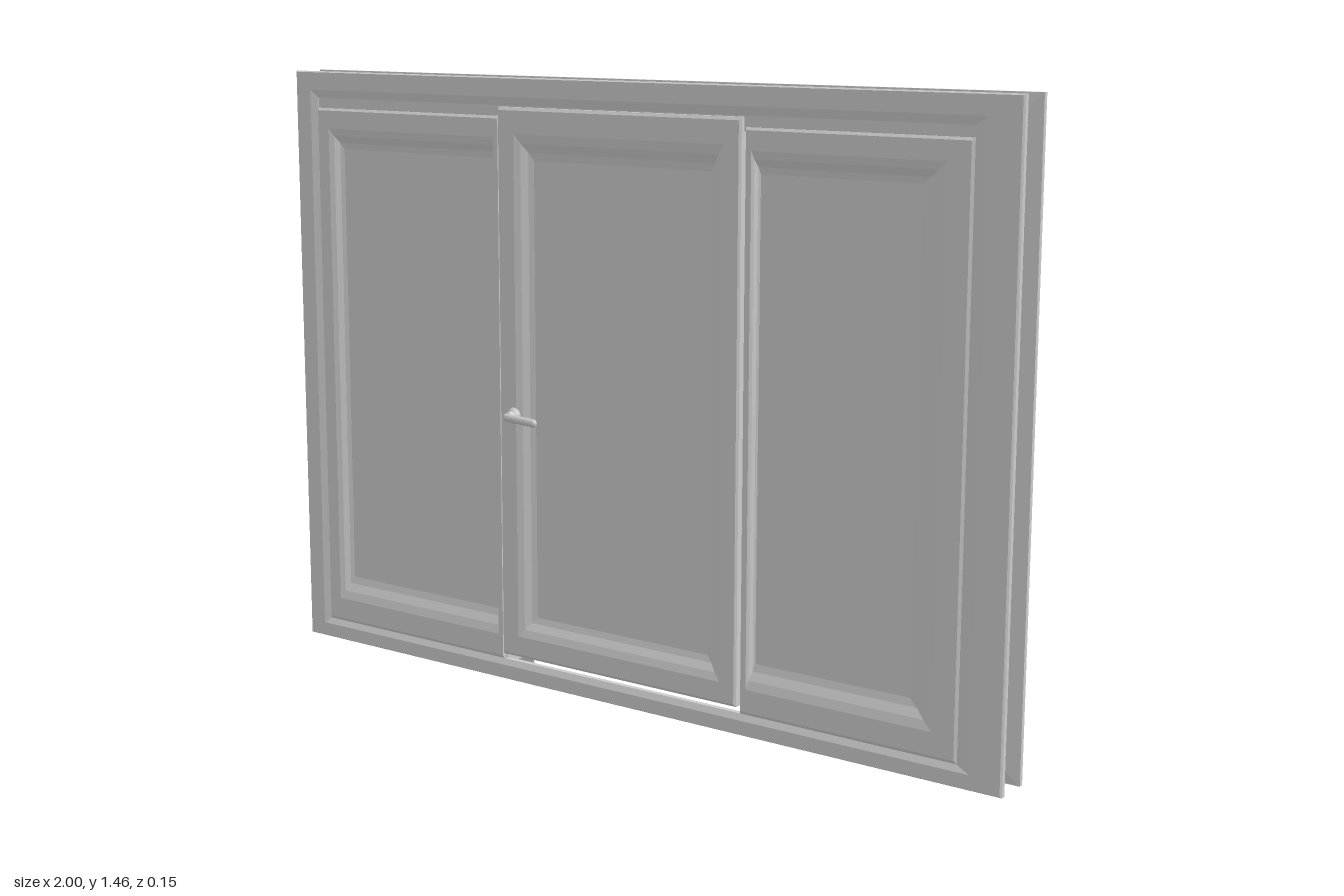
import * as THREE from 'three';

const material = new THREE.MeshStandardMaterial({ color: 0xcccccc, side: THREE.DoubleSide });

function add(parent, geometry, name, x = 0, y = 0, z = 0) {
  const mesh = new THREE.Mesh(geometry, material);
  mesh.name = name;
  mesh.position.set(x, y, z);
  parent.add(mesh);
  return mesh;
}

// Box given by its limits
function block(parent, name, [x0, x1], [y0, y1], [z0, z1]) {
  add(parent, new THREE.BoxGeometry(x1 - x0, y1 - y0, z1 - z0), name,
    (x0 + x1) / 2, (y0 + y1) / 2, (z0 + z1) / 2);
}

// Rectangle as a closed path, first corner repeated
const rect = (x0, x1, y0, y1) => [[x0, y0], [x1, y0], [x1, y1], [x0, y1], [x0, y0]];

// Path lying between two matching paths, at depth z
const between = (outer, inner, t, z) => outer.map(([x, y], i) =>
  [x + (inner[i][0] - x) * t, y + (inner[i][1] - y) * t, z]);

// Faceted surface through successive paths, with optional end panes
function loft(parent, name, paths, capped) {
  const points = [];
  const quad = (a, b, c, d) => points.push(...a, ...b, ...c, ...a, ...c, ...d);
  for (let k = 0; k < paths.length - 1; k++) {
    for (let i = 0; i < paths[k].length - 1; i++) {
      quad(paths[k][i], paths[k][i + 1], paths[k + 1][i + 1], paths[k + 1][i]);
    }
  }
  if (capped) {
    const [a, b, c, d] = paths[0];
    quad(d, c, b, a);
    quad(...paths[paths.length - 1].slice(0, 4));
  }
  const geometry = new THREE.BufferGeometry();
  geometry.setAttribute('position', new THREE.Float32BufferAttribute(points, 3));
  geometry.computeVertexNormals();
  add(parent, geometry, name);
}

// Sash with soft bevels around a recessed pane on both faces; limits are [x0, x1, y0, y1]
function sash(parent, name, limits, backPane, frontPane, zBack, zFront) {
  const outer = rect(...limits), back = rect(...backPane), front = rect(...frontPane);
  const bevel = [[1, 0.015], [0.85, 0.012], [0.68, 0.004], [0.5, 0], [0.06, 0], [0, 0.004]];
  loft(parent, name, [
    ...bevel.map(([t, d]) => between(outer, back, t, zBack + d)),
    ...[...bevel].reverse().map(([t, d]) => between(outer, front, t, zFront - d)),
  ], true);
}

// Lever handle: rosette, neck and grip standing off by reach; side is +1 front, -1 back
function handle(parent, name, x, y, z, side, reach) {
  const group = new THREE.Group();
  group.name = name;
  group.position.set(x, y, z);
  const rosette = add(group, new THREE.CylinderGeometry(0.014, 0.02, 0.008, 20), 'rosette', 0, 0, side * 0.004);
  rosette.rotation.x = side * Math.PI / 2;
  const neck = add(group, new THREE.CylinderGeometry(0.011, 0.014, reach, 16), 'neck', 0, 0, side * reach / 2);
  neck.rotation.x = side * Math.PI / 2;
  const grip = add(group, new THREE.CapsuleGeometry(0.01, 0.08, 6, 14), 'grip', 0.037, -0.003, side * reach);
  grip.rotation.z = -Math.PI / 2 - 0.06;
  grip.scale.set(1, 1, 0.7);
  parent.add(group);
}

export function createModel() {
  const model = new THREE.Group();
  model.name = 'threePartWindow';

  // Front flange, dipping slightly towards its opening
  const frontOuter = rect(-1, 1, 0, 1.46), frontInner = rect(-0.93, 0.89, 0.05, 1.395);
  const frontProfile = [[0, 0.022], [0, 0.033], [0.04, 0.036], [0.7, 0.036], [1, 0.03], [1, 0.02], [0, 0.022]];
  loft(model, 'frontFlange', frontProfile.map(([t, z]) => between(frontOuter, frontInner, t, z)));

  // Back flange, sloping inwards and open below the middle door
  const backOuter = [[-0.33, 0], [-1, 0], [-1, 1.46], [1, 1.46], [1, 0], [0.34, 0]];
  const backInner = [[-0.33, 0.085], [-0.89, 0.085], [-0.89, 1.365], [0.89, 1.365], [0.89, 0.085], [0.34, 0.085]];
  const backProfile = [[0, -0.05], [0, -0.061], [0.03, -0.064], [0.4, -0.063], [0.65, -0.057],
    [1, -0.049], [1, -0.042], [0, -0.05]];
  loft(model, 'backFlange', backProfile.map(([t, z]) => between(backOuter, backInner, t, z)));

  // Recessed core joining the flanges
  const depth = [-0.046, 0.023];
  block(model, 'coreTop', [-0.95, 0.95], [1.365, 1.405], depth);
  for (const s of [-1, 1]) {
    const side = (a, b) => (s < 0 ? [-b, -a] : [a, b]);
    block(model, 'coreSide', side(0.89, 0.95), [0.035, 1.405], depth);
    block(model, 'coreFoot', side(0.345, 0.95), [0.035, 0.085], depth);
    // Posts closing the joints beside the middle door
    block(model, 'post', side(0.325, 0.36), [0.075, 1.38], [-0.02, 0.02]);
  }
  block(model, 'sill', [-0.35, 0.35], [0.03, 0.045], [0.005, 0.025]);
  block(model, 'headStrip', [-0.935, 0.895], [1.36, 1.4], [-0.042, 0.028]);

  // Fixed side sashes and the middle door, deeply set at the back
  const zBack = -0.025;
  sash(model, 'rightSash', [-0.932, -0.347, 0.05, 1.37],
    [-0.82, -0.38, 0.17, 1.28], [-0.855, -0.375, 0.17, 1.27], zBack, 0.034);
  sash(model, 'middleDoor', [-0.343, 0.337, 0.066, 1.392],
    [-0.25, 0.24, 0.17, 1.28], [-0.245, 0.25, 0.17, 1.27], zBack, 0.042);
  sash(model, 'leftSash', [0.343, 0.892, 0.05, 1.37],
    [0.44, 0.73, 0.17, 1.28], [0.375, 0.77, 0.17, 1.27], zBack, 0.034);

  // Handles: one in front, two behind
  handle(model, 'frontHandle', -0.3, 0.663, 0.042, 1, 0.024);
  handle(model, 'backHandleRight', -0.312, 0.665, zBack, -1, 0.048);
  handle(model, 'backHandleLeft', 0.3, 0.665, zBack, -1, 0.048);
  return model;
}
